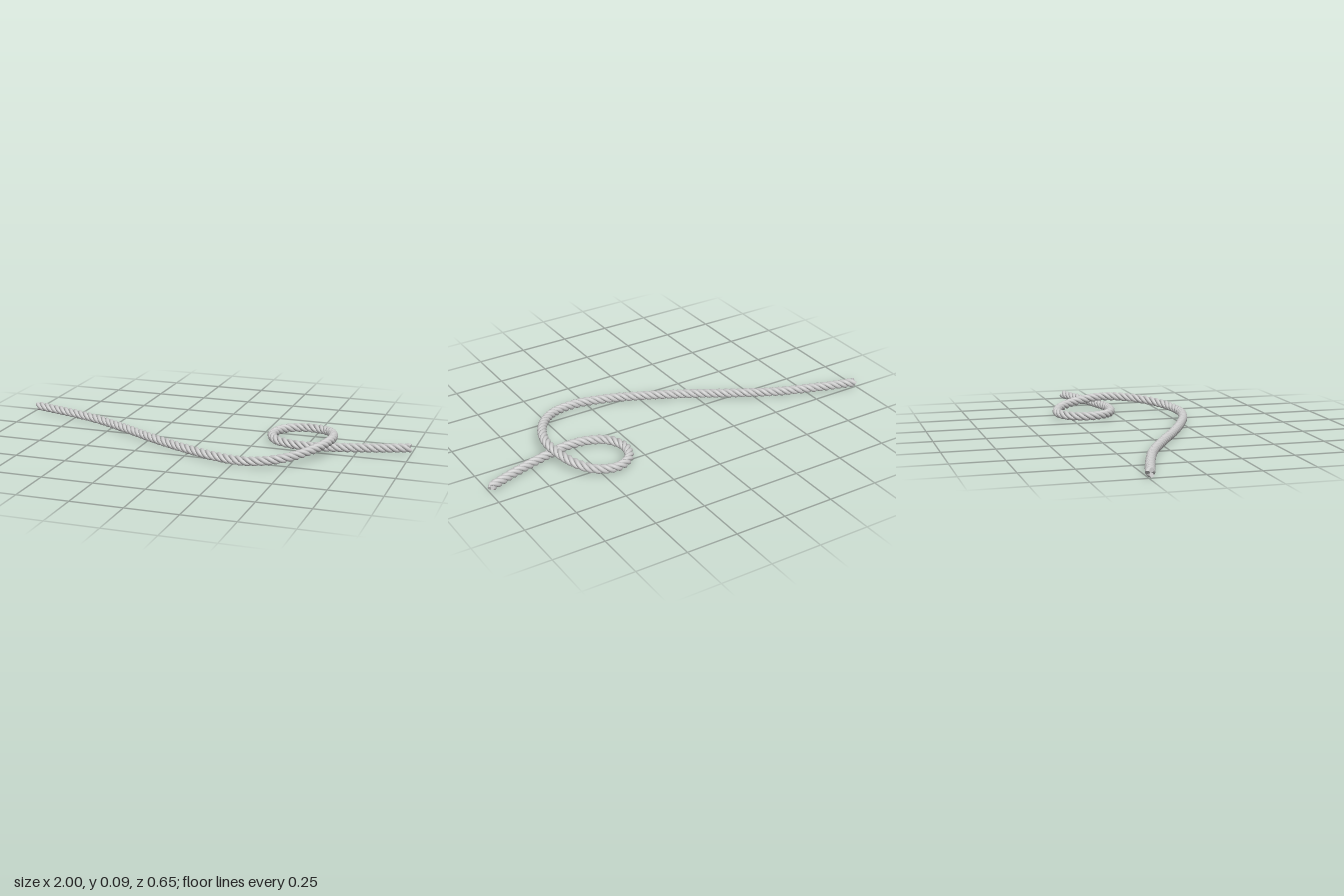
import * as THREE from 'three';

const STRANDS = 3;
const LAY = 0.1;              // rope length per full turn of a strand
const STRAND_RADIUS = 0.0106;
const HELIX_RADIUS = 0.012;
const REST = 0.0226;          // centre height of rope lying on the ground

// Centre line of the rope: [x, z, height], height defaults to resting
const PATH = [
  [-0.993, -0.243], [-0.8, -0.185], [-0.6, -0.112], [-0.4, -0.006], [-0.2, 0.11],
  [0, 0.21], [0.163, 0.275], [0.318, 0.304, 0.025], [0.468, 0.26, 0.038],
  [0.58, 0.142, 0.055], [0.634, -0.013, 0.063], [0.602, -0.185, 0.047],
  [0.532, -0.276, 0.032], [0.43, -0.306, 0.025], [0.343, -0.26], [0.31, -0.163],
  [0.35, -0.072], [0.43, -0.03], [0.532, -0.02], [0.65, -0.043], [0.832, -0.094], [0.99, -0.15],
];

// One strand winding around the centre line
class StrandCurve extends THREE.Curve {
  constructor(core, phase) {
    super();
    this.core = core;
    this.phase = phase;
    this.turns = core.getLength() / LAY;
    this.arcLengthDivisions = 3000;
  }
  getPoint(t, target = new THREE.Vector3()) {
    const u = THREE.MathUtils.clamp(t, 0, 1);
    const tangent = this.core.getTangentAt(u);
    const side = new THREE.Vector3(0, 1, 0).cross(tangent).normalize();
    const up = tangent.clone().cross(side);
    const a = this.phase + u * this.turns * Math.PI * 2;
    return target.copy(this.core.getPointAt(u))
      .addScaledVector(side, HELIX_RADIUS * Math.cos(a))
      .addScaledVector(up, HELIX_RADIUS * Math.sin(a));
  }
}

export function createModel() {
  const group = new THREE.Group();
  group.name = 'rope';
  const material = new THREE.MeshStandardMaterial({ color: 0xcccccc });
  const core = new THREE.CatmullRomCurve3(PATH.map(([x, z, y = REST]) => new THREE.Vector3(x, y, z)));
  core.arcLengthDivisions = 1000;
  const segments = Math.round(core.getLength() / LAY * 16);

  for (let i = 0; i < STRANDS; i++) {
    const curve = new StrandCurve(core, i / STRANDS * Math.PI * 2);
    const strand = new THREE.Mesh(new THREE.TubeGeometry(curve, segments, STRAND_RADIUS, 10), material);
    strand.name = `strand${i + 1}`;
    group.add(strand);

    // Flat cut ends
    for (const end of [0, 1]) {
      const cap = new THREE.Mesh(new THREE.CircleGeometry(STRAND_RADIUS, 10), material);
      cap.name = `strand${i + 1}End${end + 1}`;
      const outward = curve.getTangentAt(end).multiplyScalar(end ? 1 : -1);
      cap.position.copy(curve.getPoint(end));
      cap.quaternion.setFromUnitVectors(new THREE.Vector3(0, 0, 1), outward);
      group.add(cap);
    }
  }
  return group;
}
